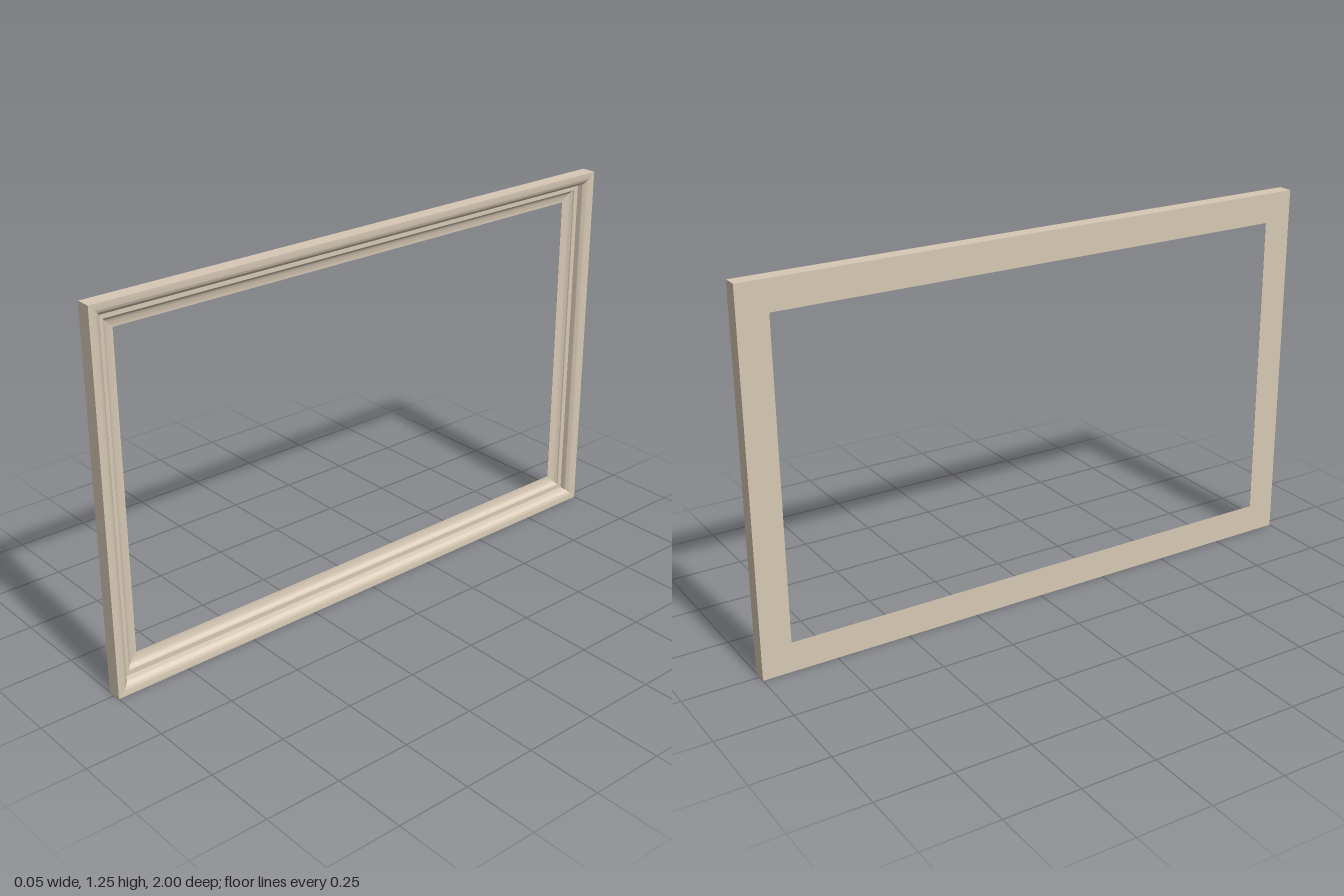
import * as THREE from 'three';
import { toCreasedNormals } from 'three/addons/utils/BufferGeometryUtils.js';

const HALF_W = 1, HALF_H = 0.625, THICK = 0.05, BORDER = 0.1;

// Moulding section as [inset from outer edge, height above the flat back]
function mouldingProfile() {
  const pts = [[BORDER, 0], [0, 0], [0, THICK]];
  const steps = 10;
  // convex round falling from the outer rim
  for (let i = 0; i <= steps; i++) {
    const a = (i / steps) * Math.PI / 2;
    pts.push([0.014 + 0.03 * Math.sin(a), 0.021 + 0.029 * Math.cos(a)]);
  }
  // narrow flat fillet between the two curves
  pts.push([0.044, 0.019], [0.061, 0.019]);
  // concave cove sweeping down to the thin inner edge
  for (let i = 0; i <= steps; i++) {
    const a = (i / steps) * Math.PI / 2;
    pts.push([BORDER - 0.038 * Math.cos(a), 0.001 + 0.017 * (1 - Math.sin(a))]);
  }
  pts.push([BORDER, 0]);
  return pts;
}

// One mitred bar running between two corners, given as [z sign, y sign]
function mitredBar(profile, from, to) {
  const pos = [], index = [];
  for (const [d, h] of profile) {
    for (const [sz, sy] of [from, to]) {
      pos.push(h - THICK / 2, HALF_H + sy * (HALF_H - d), sz * (HALF_W - d));
    }
  }
  for (let j = 0; j < profile.length - 1; j++) {
    const a = 2 * j, b = a + 1, c = a + 2, e = a + 3;
    index.push(a, c, b, b, c, e);
  }
  const geo = new THREE.BufferGeometry();
  geo.setAttribute('position', new THREE.Float32BufferAttribute(pos, 3));
  geo.setIndex(index);
  return toCreasedNormals(geo, 0.5);
}

export function createModel() {
  const group = new THREE.Group();
  group.name = 'frame';
  const material = new THREE.MeshStandardMaterial({ color: 0xd6c8b4 });
  const profile = mouldingProfile();
  const corners = [[-1, -1], [1, -1], [1, 1], [-1, 1]];
  const names = ['bottomRail', 'frontStile', 'topRail', 'backStile'];

  // Four bars meeting at 45 degree mitres
  names.forEach((name, i) => {
    const bar = new THREE.Mesh(mitredBar(profile, corners[i], corners[(i + 1) % 4]), material);
    bar.name = name;
    group.add(bar);
  });
  return group;
}
